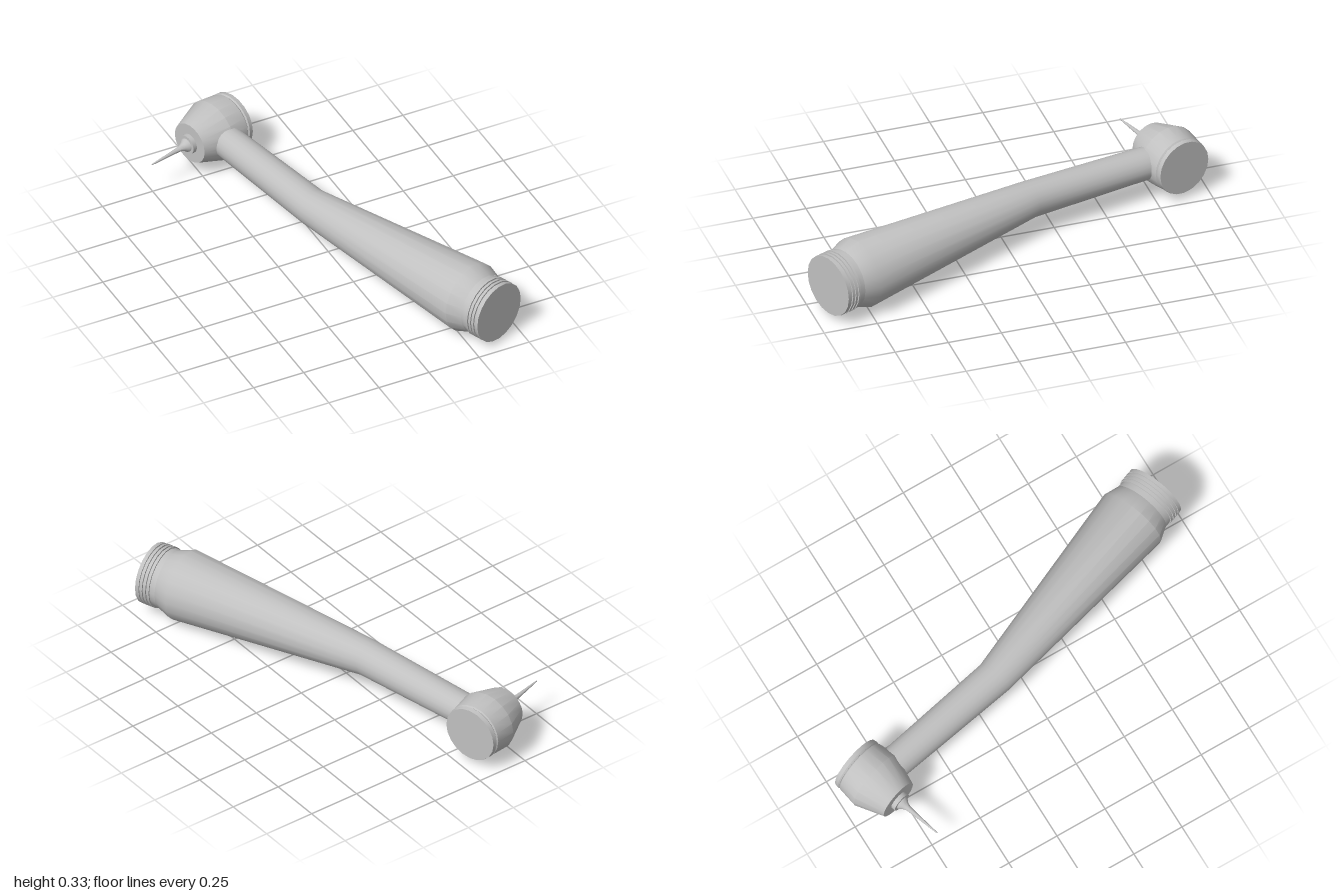
import * as THREE from 'three';
import { toCreasedNormals } from 'three/addons/utils/BufferGeometryUtils.js';

const AXIS_Y = 0.167;
const SIDES = 20;

// Skin round cross-sections; each ring is [x, z, radius, dirX, dirZ]
function loft(rings, sides = SIDES) {
  const pos = [], index = [];
  for (const [x, z, r, dx, dz] of rings) {
    const len = Math.hypot(dx, dz);
    for (let j = 0; j < sides; j++) {
      const a = (j / sides) * Math.PI * 2;
      const s = r * Math.cos(a) / len;
      pos.push(x + s * dz, AXIS_Y + r * Math.sin(a), z - s * dx);
    }
  }
  for (let i = 0; i < rings.length - 1; i++) {
    for (let j = 0; j < sides; j++) {
      const k = (j + 1) % sides;
      const a = i * sides + j, b = i * sides + k, c = b + sides, d = a + sides;
      if (rings[i][2] > 0) index.push(a, b, c);
      if (rings[i + 1][2] > 0) index.push(a, c, d);
      else if (rings[i][2] > 0) index[index.length - 1] = d;
    }
  }
  const g = new THREE.BufferGeometry();
  g.setAttribute('position', new THREE.Float32BufferAttribute(pos, 3));
  g.setIndex(index);
  return toCreasedNormals(g, Math.PI / 6);
}

// Turned part: [distance, radius] profile along a straight axis
function turned(origin, dir, profile, sides) {
  const n = Math.hypot(...dir), dx = dir[0] / n, dz = dir[1] / n;
  return loft(profile.map(([t, r]) => [origin[0] + t * dx, origin[1] + t * dz, r, dx, dz]), sides);
}

export function createModel() {
  const group = new THREE.Group();
  const steel = new THREE.MeshStandardMaterial({ color: 0xc0c0c0 });
  steel.name = 'steel grey';
  const add = (name, geometry) => {
    const mesh = new THREE.Mesh(geometry, steel);
    mesh.name = name;
    group.add(mesh);
  };

  // Bent grip: shoulder, long taper, then slim neck running into the head
  const back = [-0.359, -0.933];
  add('handle', loft([
    [0.344, 0.847, 0.139, ...back],
    [0.3175, 0.78, 0.165, ...back],
    [-0.0125, -0.133, 0.085, ...back],
    [-0.147, -0.80, 0.074, -0.2, -0.98],
  ]));

  // Threaded coupling with a flat end
  const thread = [[0.06, 0], [0.06, 0.139], [0.1, 0.139]];
  for (let i = 0; i < 3; i++) {
    const t = 0.1 + i * 0.018;
    thread.push([t, 0.145], [t + 0.011, 0.145], [t + 0.011, 0.138], [t + 0.018, 0.138]);
  }
  thread.push([0.154, 0.144], [0.172, 0.144], [0.172, 0]);
  add('coupling', turned([0.3175, 0.78], [0.359, 0.933], thread));

  // Head, its rear button cap, the chuck collar and the bur share one axis
  const origin = [-0.037, -0.875], out = [-0.958, 0.287];
  add('head', turned(origin, out, [
    [0.026, 0], [0.026, 0.128], [0.032, 0.134], [0.128, 0.146], [0.264, 0.097], [0.264, 0],
  ]));
  add('buttonCap', turned(origin, out, [
    [0, 0], [0, 0.131], [0.02, 0.134], [0.026, 0.129], [0.026, 0],
  ]));
  add('chuckCollar', turned(origin, out, [
    [0.262, 0], [0.262, 0.047], [0.285, 0.047], [0.285, 0],
  ]));
  add('bur', turned(origin, out, [
    [0.283, 0], [0.283, 0.034], [0.292, 0.031], [0.305, 0.02], [0.325, 0.013],
    [0.36, 0.01], [0.497, 0.003], [0.499, 0],
  ], 16));

  return group;
}
